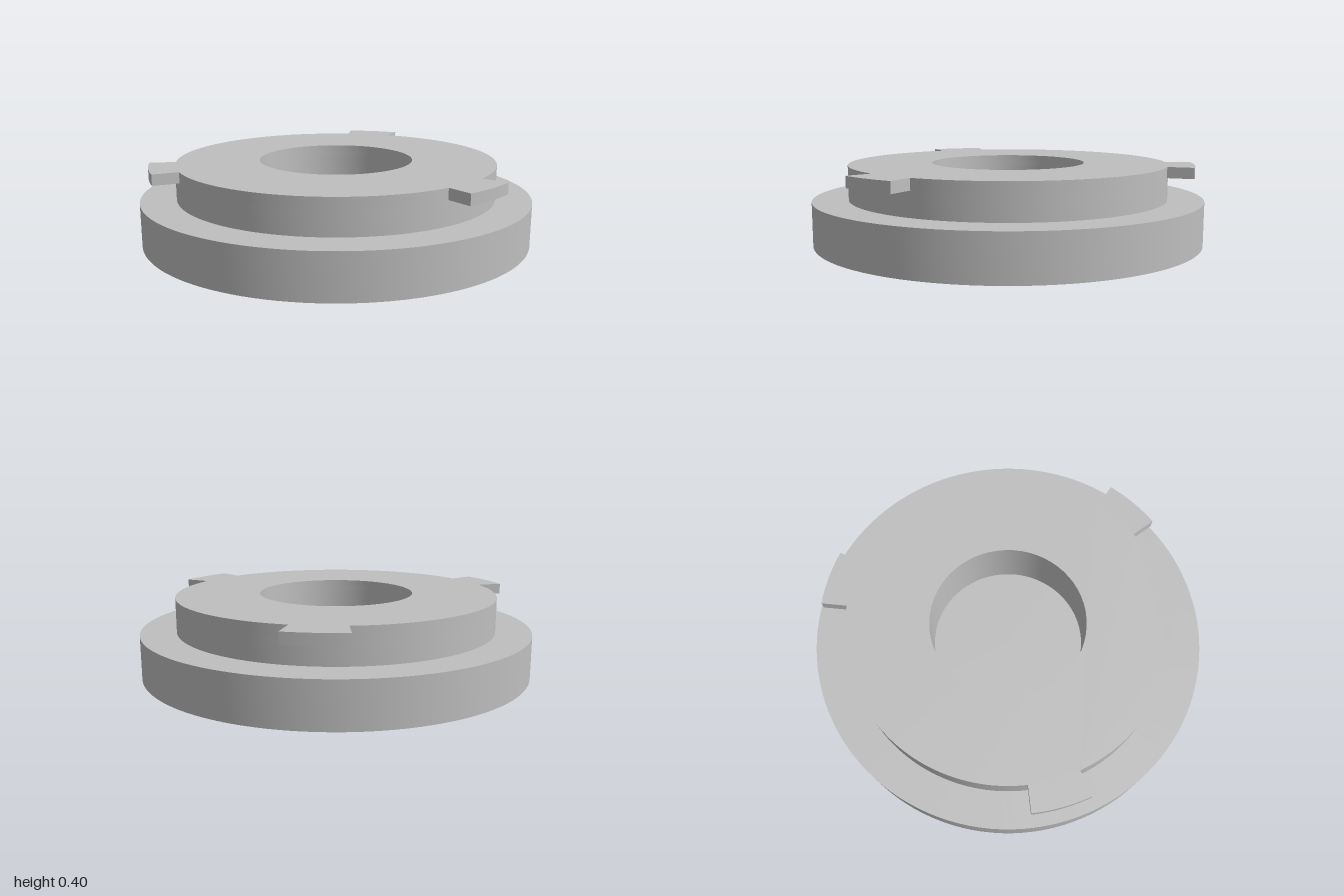
import * as THREE from 'three';
import { toCreasedNormals } from 'three/addons/utils/BufferGeometryUtils.js';

const NECK_R = 0.82, TAB_R = 0.95, HOLE_R = 0.395;
const FLANGE_Y = 0.34, TOP_Y = 0.395, FLOOR_Y = 0.095;

export function createModel() {
  const group = new THREE.Group();
  const grey = new THREE.MeshStandardMaterial({ color: 0xbfbfbf });
  grey.name = 'plain grey';

  const add = (name, geometry) => {
    const mesh = new THREE.Mesh(toCreasedNormals(geometry, 0.6), grey);
    mesh.name = name;
    group.add(mesh);
  };
  const lathe = (points) =>
    new THREE.LatheGeometry(points.map(([r, y]) => new THREE.Vector2(r, y)), 120);

  // Wide base disc with the narrower neck on top
  add('baseAndNeck', lathe([[0, 0], [1, 0], [1, 0.22], [NECK_R, 0.22], [NECK_R, FLANGE_Y]]));

  // Blind hole: wall and floor
  add('centreHole', lathe([[HOLE_R, FLANGE_Y], [HOLE_R, FLOOR_Y], [0, FLOOR_Y]]));

  // Top ring with three bayonet tabs, outlined anticlockwise
  const rad = THREE.MathUtils.degToRad;
  const half = rad(8.9);
  const outline = new THREE.Shape();
  for (let i = 0; i < 3; i++) {
    const mid = rad(86 + i * 120);
    outline.absarc(0, 0, TAB_R, mid - half, mid + half, false);
    outline.absarc(0, 0, NECK_R, mid + half, mid + rad(120) - half, false);
  }
  outline.closePath();
  const hole = new THREE.Path();
  hole.absarc(0, 0, HOLE_R, 0, Math.PI * 2, true);
  outline.holes.push(hole);

  const ring = new THREE.ExtrudeGeometry(outline, {
    depth: TOP_Y - FLANGE_Y, bevelEnabled: false, curveSegments: 30,
  });
  ring.rotateX(-Math.PI / 2).translate(0, FLANGE_Y, 0);
  add('tabbedRing', ring);

  return group;
}
